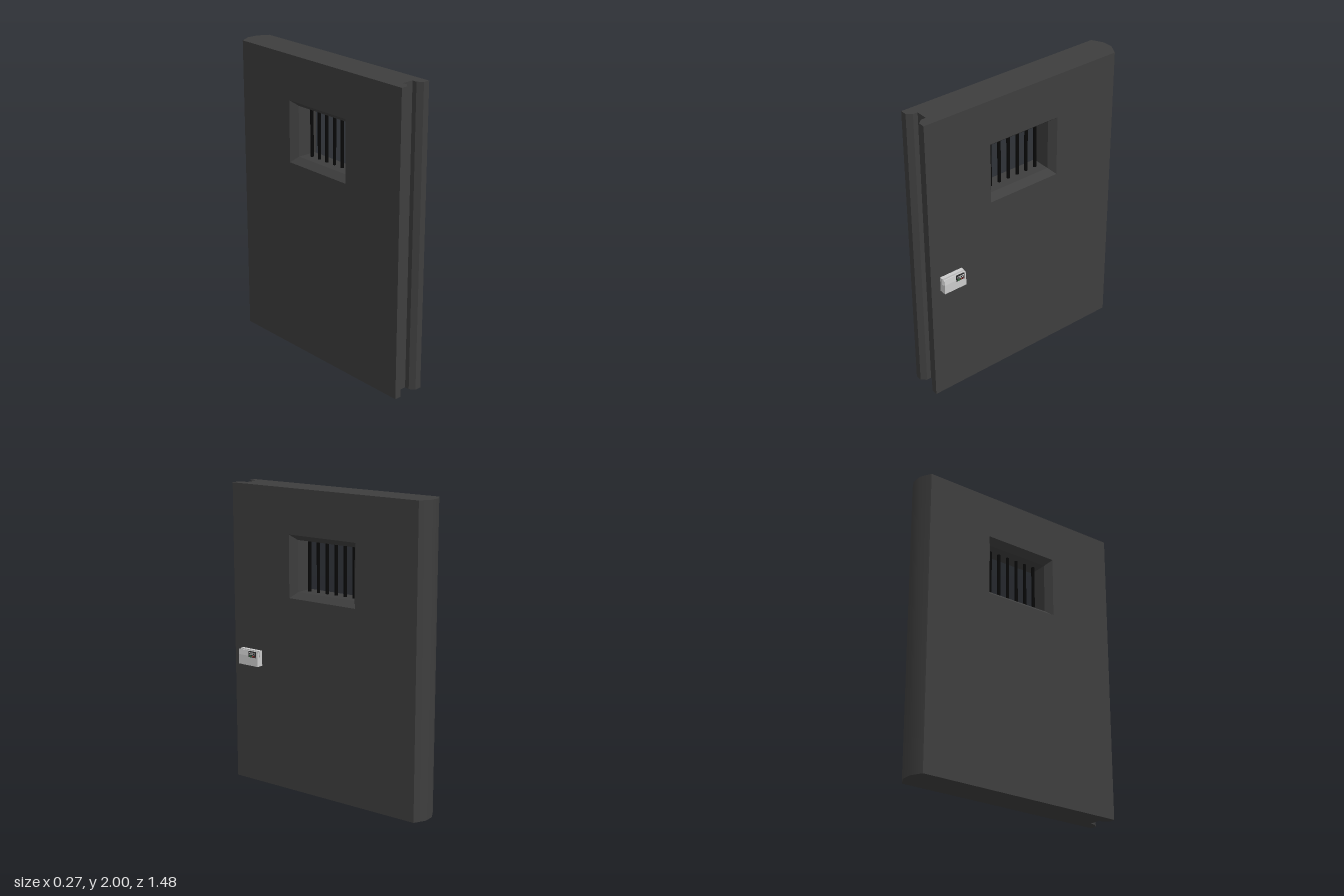
import * as THREE from 'three';
import { toCreasedNormals } from 'three/addons/utils/BufferGeometryUtils.js';

const mat = (color) => new THREE.MeshStandardMaterial({ color });
const DOOR = mat(0x3e3e3e), BAR = mat(0x080808), GREY = mat(0xcccccc);
const DARK = mat(0x2a2a2a), RED = mat(0xb03030), GREEN = mat(0x3a9a4a);

const HEIGHT = 2, X0 = -0.14, X1 = 0.08, Z_BACK = -0.70, Z_FRONT = 0.74;

// Joins a list of point rings with quads.
function loft(rings, closed) {
  const pos = [];
  for (let r = 0; r < rings.length - 1; r++) {
    const n = rings[r].length;
    for (let i = 0; i < (closed ? n : n - 1); i++) {
      const j = (i + 1) % n;
      const a = rings[r][i], b = rings[r + 1][i], c = rings[r + 1][j], d = rings[r][j];
      pos.push(...a, ...b, ...c, ...a, ...c, ...d);
    }
  }
  const g = new THREE.BufferGeometry();
  g.setAttribute('position', new THREE.Float32BufferAttribute(pos, 3));
  return toCreasedNormals(g, 0.6);
}

const shapeOf = (pts) => new THREE.Shape(pts.map(([a, b]) => new THREE.Vector2(a, b)));

export function createModel() {
  const model = new THREE.Group();
  const add = (parent, name, geometry, material) => {
    const m = new THREE.Mesh(geometry, material);
    m.name = name;
    parent.add(m);
    return m;
  };
  const box = (parent, name, material, x, y, z) => {
    const g = new THREE.BoxGeometry(x[1] - x[0], y[1] - y[0], z[1] - z[0]);
    add(parent, name, g, material).position.set((x[0] + x[1]) / 2, (y[0] + y[1]) / 2, (z[0] + z[1]) / 2);
  };

  // Door slab: rounded back edge, grooved front edge
  const door = new THREE.Group();
  door.name = 'door';
  model.add(door);
  const backEdge = [[X0, Z_BACK], [-0.065, -0.74], [0.005, -0.74], [X1, Z_BACK]];
  const frontEdge = [[X1, Z_FRONT], [0.037, Z_FRONT], [0.01, 0.707], [0.01, 0.675],
    [-0.07, 0.675], [-0.07, 0.707], [-0.097, Z_FRONT], [X0, Z_FRONT]];
  const wall = (pts) => loft([0, HEIGHT].map((y) => pts.map(([x, z]) => [x, y, z])), false);
  add(door, 'roundedEdge', wall(backEdge), DOOR);
  add(door, 'groovedEdge', wall(frontEdge), DOOR);

  // Top and bottom caps
  const outline = [...backEdge, ...frontEdge];
  const top = new THREE.ShapeGeometry(shapeOf(outline.map(([x, z]) => [x, -z])));
  add(door, 'topCap', top.rotateX(-Math.PI / 2).translate(0, HEIGHT, 0), DOOR);
  add(door, 'bottomCap', new THREE.ShapeGeometry(shapeOf(outline)).rotateX(Math.PI / 2), DOOR);

  // Large faces with the window opening
  const win = { y0: 1.295, y1: 1.705, z0: -0.245, z1: 0.275 };
  for (const s of [1, -1]) {
    const face = shapeOf([[-s * Z_BACK, 0], [-s * Z_FRONT, 0], [-s * Z_FRONT, HEIGHT], [-s * Z_BACK, HEIGHT]]);
    face.holes.push(shapeOf([[-s * win.z0, win.y0], [-s * win.z1, win.y0], [-s * win.z1, win.y1], [-s * win.z0, win.y1]]));
    const g = new THREE.ShapeGeometry(face).rotateY(s * Math.PI / 2).translate(s > 0 ? X1 : X0, 0, 0);
    add(door, s > 0 ? 'leftFace' : 'rightFace', g, DOOR);
  }

  // Window reveal, bevelled towards both faces
  const inset = 0.037, depth = 0.045;
  const ring = (x, k) => [[x, win.y0 + k, win.z0 + k], [x, win.y1 - k, win.z0 + k],
    [x, win.y1 - k, win.z1 - k], [x, win.y0 + k, win.z1 - k]];
  const reveal = [ring(X0, 0), ring(X0 + depth, inset), ring(X1 - depth, inset), ring(X1, 0)];
  add(door, 'windowReveal', loft(reveal, true), DOOR);

  // Window bars
  const bars = new THREE.Group();
  bars.name = 'windowBars';
  model.add(bars);
  for (let i = 0; i < 6; i++) {
    const g = new THREE.CylinderGeometry(0.011, 0.011, 0.36, 12);
    add(bars, 'bar', g, BAR).position.set(-0.03, 1.5, 0.195 - i * 0.0705);
  }

  // Lock: slotted card reader on the left face
  const lock = new THREE.Group();
  lock.name = 'lock';
  model.add(lock);
  const profile = shapeOf([[X1, 0.81], [0.127, 0.81], [0.127, 0.875], [0.122, 0.91],
    [0.114, 0.91], [0.111, 0.87], [0.104, 0.87], [0.104, 0.912], [X1, 0.912]]);
  for (const [z0, z1] of [[0.51, 0.6], [0.6, 0.672]]) {
    const g = new THREE.ExtrudeGeometry(profile, { depth: z1 - z0, bevelEnabled: false });
    add(lock, 'lockBody', g.translate(0, 0, z0), GREY);
  }

  // Display with keys and status lights
  box(lock, 'displayFrame', DARK, [0.115, 0.131], [0.868, 0.908], [0.525, 0.585]);
  box(lock, 'displayPanel', GREY, [0.125, 0.133], [0.886, 0.902], [0.532, 0.578]);
  for (let i = 0; i < 4; i++) {
    const z = 0.534 + i * 0.012;
    box(lock, 'statusLight', i < 2 ? RED : GREEN, [0.125, 0.134], [0.873, 0.88], [z, z + 0.007]);
    box(lock, 'displayMark', DARK, [0.13, 0.1345], [0.89, 0.898], [z, z + 0.006]);
  }
  return model;
}
